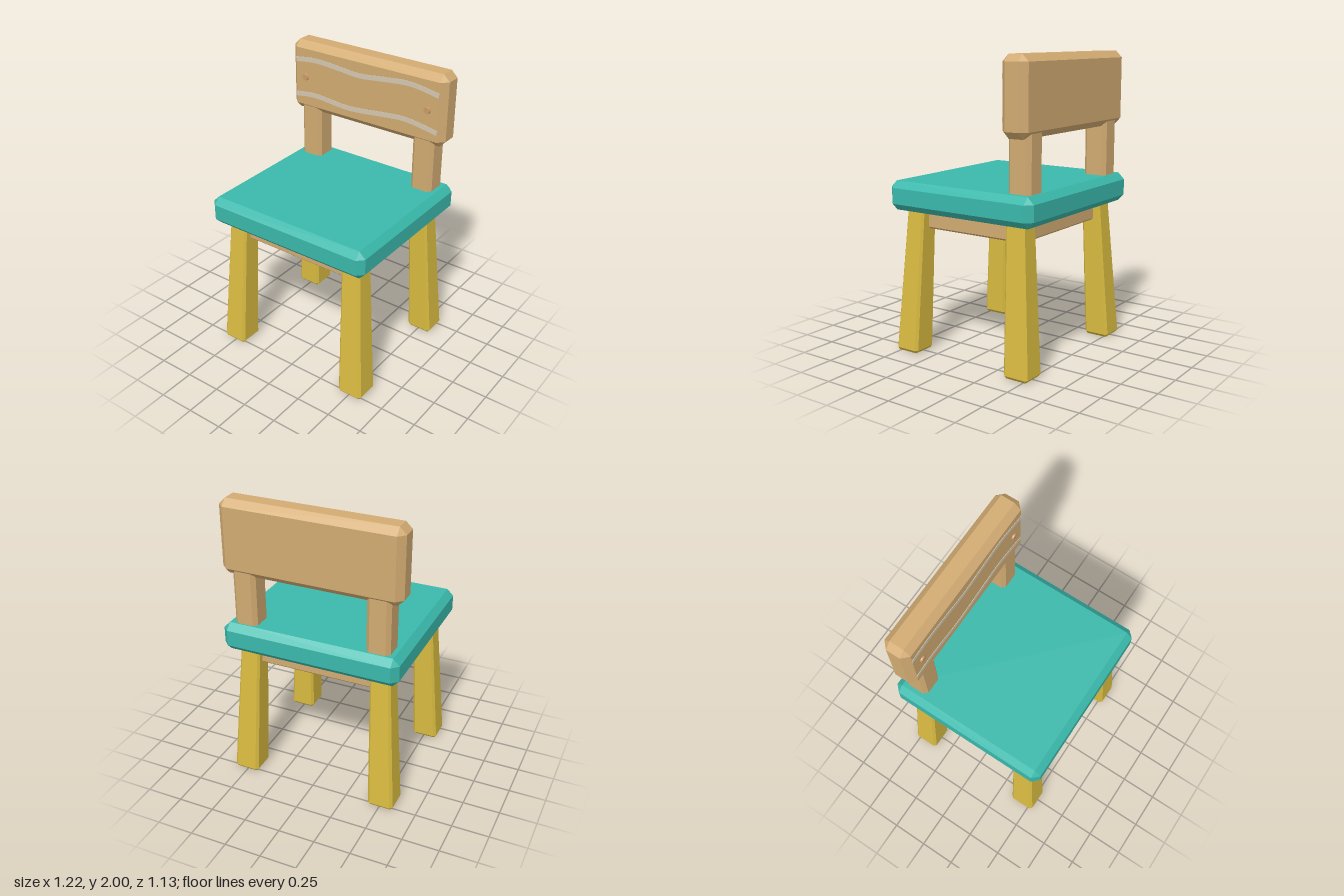
import * as THREE from 'three';
import { ConvexGeometry } from 'three/addons/geometries/ConvexGeometry.js';

const mat = (name, color) => Object.assign(new THREE.MeshStandardMaterial({ color }), { name });

// Box with all edges chamfered by c; move(point) may reshape it afterwards
function chamferBox(min, max, c, move) {
  const points = [];
  for (const sx of [0, 1]) for (const sy of [0, 1]) for (const sz of [0, 1]) {
    const s = [sx, sy, sz];
    for (let full = 0; full < 3; full++) {
      const p = s.map((side, a) => {
        const inset = a === full ? 0 : c;
        return side ? max[a] - inset : min[a] + inset;
      });
      const v = new THREE.Vector3(...p);
      if (move) move(v);
      points.push(v);
    }
  }
  return new ConvexGeometry(points);
}

// Thin wavy band following a smooth curve
function grainStripe(coords, width) {
  const curve = new THREE.SplineCurve(coords.map(([x, y]) => new THREE.Vector2(x, y)));
  const line = curve.getPoints(28);
  const lower = line.map(p => new THREE.Vector2(p.x, p.y - width / 2));
  const upper = line.map(p => new THREE.Vector2(p.x, p.y + width / 2)).reverse();
  return new THREE.ExtrudeGeometry(new THREE.Shape([...lower, ...upper]), { depth: 0.004, bevelEnabled: false });
}

export function createModel() {
  const wood = mat('wood', 0xd2ab72);
  const teal = mat('tealPaint', 0x3ab8ab);
  const yellow = mat('yellowPaint', 0xd9bb40);
  const grain = mat('paleGrain', 0xd3c7b0);
  const pegWood = mat('pegWood', 0xcb9b68);

  const model = new THREE.Group();
  model.name = 'chair';
  const add = (name, geometry, material) => {
    const mesh = new THREE.Mesh(geometry, material);
    mesh.name = name;
    model.add(mesh);
    return mesh;
  };

  // Seat and backrest
  add('seat', chamferBox([-0.61, 0.97, -0.563], [0.61, 1.165, 0.563], 0.044), teal);
  add('backrest', chamferBox([-0.61, 1.502, -0.523], [0.61, 2, -0.338], 0.044), wood);

  // Tapered, splayed legs: section centre and half width change with height
  const legHeight = 1.0;
  for (const sx of [-1, 1]) for (const sz of [-1, 1]) {
    const shape = v => {
      const t = v.y / legHeight;
      const half = THREE.MathUtils.lerp(0.09, 0.068, t);
      v.x = sx * THREE.MathUtils.lerp(0.507, 0.459, t) + v.x * half;
      v.z = sz * THREE.MathUtils.lerp(0.444, 0.395, t) + v.z * half;
    };
    // Unit section with its chamfer given as a share of the half width
    const c = 0.02;
    add((sz > 0 ? 'front' : 'back') + (sx > 0 ? 'Left' : 'Right') + 'Leg',
      chamferBox([-1, 0, -1], [1, legHeight, 1], c, v => {
        for (const a of ['x', 'z']) {
          if (Math.abs(v[a]) < 0.999) v[a] = Math.sign(v[a]) * 0.8;
        }
        shape(v);
      }), yellow);
  }

  // Rails under the seat
  for (const s of [-1, 1]) {
    const span = (a, b) => [Math.min(s * a, s * b), Math.max(s * a, s * b)];
    const [z0, z1] = span(0.32, 0.42);
    add(s > 0 ? 'frontRail' : 'backRail', chamferBox([-0.44, 0.847, z0], [0.44, 1.0, z1], 0.012), wood);
    const [x0, x1] = span(0.37, 0.47);
    add(s > 0 ? 'leftRail' : 'rightRail', chamferBox([x0, 0.847, -0.38], [x1, 1.0, 0.38], 0.012), wood);
  }

  // Back posts and round pegs
  for (const s of [-1, 1]) {
    const side = s > 0 ? 'left' : 'right';
    const x = s * 0.457;
    add(side + 'Post', chamferBox([x - 0.08, 1.1, -0.51], [x + 0.08, 1.6, -0.345], 0.026), wood);
    const peg = add(side + 'Peg', new THREE.CylinderGeometry(0.022, 0.026, 0.022, 12), pegWood);
    peg.rotation.x = Math.PI / 2;
    peg.position.set(s * 0.487, 1.753, -0.337);
  }

  // Painted wood grain on the front of the backrest
  const stripes = {
    upperGrain: [[-0.567, 1.87], [-0.4, 1.888], [-0.22, 1.878], [-0.04, 1.864], [0.16, 1.885], [0.36, 1.9], [0.567, 1.868]],
    lowerGrain: [[-0.567, 1.615], [-0.4, 1.632], [-0.16, 1.612], [0, 1.62], [0.16, 1.638], [0.34, 1.648], [0.567, 1.612]],
  };
  for (const [name, coords] of Object.entries(stripes)) {
    add(name, grainStripe(coords, 0.034), grain).position.z = -0.339;
  }

  return model;
}
